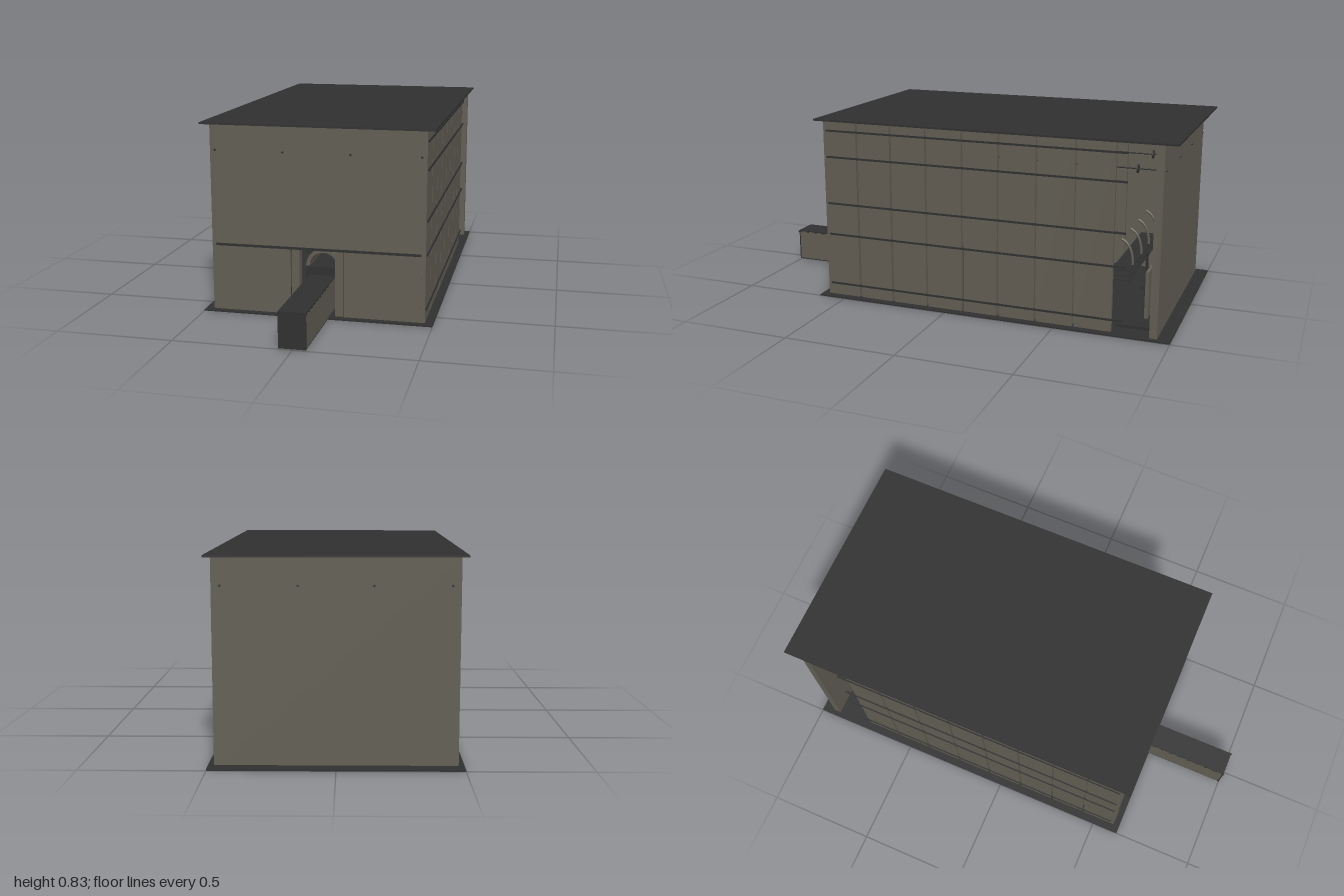
import * as THREE from 'three';

export function createModel() {
  const model = new THREE.Group();
  const concrete = new THREE.MeshStandardMaterial({ color: 0x625e54 });
  concrete.name = 'concrete';
  const darkSteel = new THREE.MeshStandardMaterial({ color: 0x303030 });
  darkSteel.name = 'dark steel';

  const add = (name, geometry, material, parent = model) => {
    const mesh = new THREE.Mesh(geometry, material);
    mesh.name = name;
    parent.add(mesh);
    return mesh;
  };
  // Box given by its minimum and maximum on each axis
  const box = (name, material, x0, x1, y0, y1, z0, z1, parent) => {
    const mesh = add(name, new THREE.BoxGeometry(x1 - x0, y1 - y0, z1 - z0), material, parent);
    mesh.position.set((x0 + x1) / 2, (y0 + y1) / 2, (z0 + z1) / 2);
    return mesh;
  };
  const mirrored = (name, material, x0, x1, ...rest) => {
    box(name + 'Left', material, x0, x1, ...rest);
    box(name + 'Right', material, -x1, -x0, ...rest);
  };

  // Floor and roof slabs
  const base = 0.006, top = 0.822;
  box('floor', darkSteel, -0.5, 0.5, 0, base, -1, 0.625);
  box('roof', darkSteel, -0.5, 0.5, top, 0.83, -1, 0.625);

  // Back wall stands apart from the side walls
  box('backWall', concrete, -0.477, 0.477, base, top, -0.943, -0.91);

  // Front wall with doorway, lintel and jambs
  box('frontUpperWall', concrete, -0.447, 0.447, 0.303, top, 0.57, 0.595);
  box('lintel', darkSteel, -0.447, 0.447, 0.293, 0.303, 0.57, 0.6);
  mirrored('frontLowerWall', concrete, 0.115, 0.447, base, 0.293, 0.57, 0.597);
  mirrored('doorJamb', concrete, 0.078, 0.114, base, 0.293, 0.55, 0.592);
  mirrored('jambSeam', darkSteel, 0.113, 0.116, base, 0.293, 0.59, 0.594);

  // Side walls of eight panels with narrow gaps
  const joints = [0.595, 0.43, 0.265, 0.095, -0.075, -0.24, -0.41, -0.58, -0.745];
  for (let i = 0; i < 8; i++) {
    const front = joints[i] - (i ? 0.005 : 0);
    const back = joints[i + 1] + (i < 7 ? 0.005 : 0);
    mirrored('sidePanel' + (i + 1), concrete, 0.447, 0.465, base, top, back, front);
  }

  // Horizontal rails outside the panels
  for (const y of [0.06, 0.295, 0.44, 0.655, 0.775]) {
    mirrored('sideRail', darkSteel, 0.461, 0.47, y - 0.004, y + 0.004, -0.795, 0.58);
  }

  // Inner columns behind most of the gaps
  for (const z of joints.slice(1, 8)) {
    const foot = z === -0.075 ? 0.32 : base;
    mirrored('innerColumn', concrete, 0.41, 0.43, foot, 0.66, z - 0.015, z + 0.015);
  }

  // Tie rods through the hall, with nuts on both end walls
  for (const x of [-0.443, -0.145, 0.145, 0.443]) {
    const rod = add('tieRod', new THREE.CylinderGeometry(0.003, 0.003, 1.53, 8), darkSteel);
    rod.rotation.x = Math.PI / 2;
    rod.position.set(x, 0.71, -0.175);
    for (const z of [0.596, -0.945]) {
      const nut = add('rodNut', new THREE.CylinderGeometry(0.005, 0.005, 0.008, 6), darkSteel);
      nut.rotation.x = Math.PI / 2;
      nut.position.set(x, 0.71, z);
    }
    const clamp = add('rodClamp', new THREE.CylinderGeometry(0.018, 0.018, 0.006, 10), darkSteel);
    clamp.rotation.x = Math.PI / 2;
    clamp.position.set(x, 0.71, -0.83);
  }

  // Entrance tunnel
  const tunnel = new THREE.Group();
  tunnel.name = 'tunnel';
  model.add(tunnel);
  box('tunnelBottom', darkSteel, -0.055, 0.055, 0.004, 0.009, 0.5, 0.998, tunnel);
  box('tunnelTop', darkSteel, -0.057, 0.057, 0.151, 0.156, 0.5, 0.998, tunnel);
  for (const s of [-1, 1]) {
    const side = box('tunnelSide', concrete, -0.003, 0.003, 0.009, 0.151, 0.5, 0.998, tunnel);
    side.position.x = s * 0.053;
    for (let z = 0.63; z < 1; z += 0.045) {
      const lug = box('tunnelLug', darkSteel, -0.003, 0.003, 0.147, 0.152, z, z + 0.014, tunnel);
      lug.position.x = s * 0.056;
    }
  }
  box('tunnelEnd', darkSteel, -0.057, 0.057, 0.004, 0.156, 0.995, 1, tunnel);

  // Inner passage with a vaulted arch behind the doorway
  box('passageBlock', darkSteel, -0.076, 0.076, 0.08, 0.19, 0.3, 0.49);
  mirrored('passageBase', concrete, 0.05, 0.078, base, 0.08, 0.3, 0.5);
  for (let i = 0; i < 4; i++) {
    mirrored('passageStep', darkSteel, 0.058, 0.08, 0.02 + i * 0.015, 0.026 + i * 0.015, 0.5, 0.505);
  }
  const vault = new THREE.Shape();
  vault.absarc(0, 0, 0.078, 0, Math.PI, false);
  vault.absarc(0, 0, 0.062, Math.PI, 0, true);
  const vaultMesh = add('vault',
    new THREE.ExtrudeGeometry(vault, { depth: 0.2, bevelEnabled: false, curveSegments: 14 }), concrete);
  vaultMesh.position.set(0, 0.19, 0.28);
  box('vaultBackPlate', concrete, -0.11, 0.11, 0.19, 0.32, 0.2, 0.21);

  // Radial struts above the vault
  for (let i = 0; i < 7; i++) {
    const angle = Math.PI * (0.2 + i * 0.1);
    const strut = add('vaultStrut', new THREE.BoxGeometry(0.05, 0.006, 0.01), darkSteel);
    strut.position.set(Math.cos(angle) * 0.1, 0.19 + Math.sin(angle) * 0.1, 0.45);
    strut.rotation.z = angle;
  }

  // Equipment in the open bay before the back wall
  mirrored('bayPost', darkSteel, 0.2, 0.215, base, 0.29, -0.84, -0.83);
  mirrored('bayPlate', concrete, 0.1, 0.3, base, 0.23, -0.865, -0.85);
  mirrored('bayFoot', darkSteel, 0.1, 0.4, base, 0.02, -0.9, -0.75);
  for (const y of [0.18, 0.2, 0.225]) {
    box('bayShelf', darkSteel, -0.3, 0.3, y - 0.002, y + 0.002, -0.78, -0.7);
  }
  const bend = new THREE.QuadraticBezierCurve3(
    new THREE.Vector3(0, 0.35, -0.73),
    new THREE.Vector3(0, 0.33, -0.78),
    new THREE.Vector3(0, 0.24, -0.782));
  for (const x of [-0.25, -0.08, 0.08, 0.25]) {
    add('bentPipe', new THREE.TubeGeometry(bend, 10, 0.006, 8), concrete).position.x = x;
  }
  return model;
}
